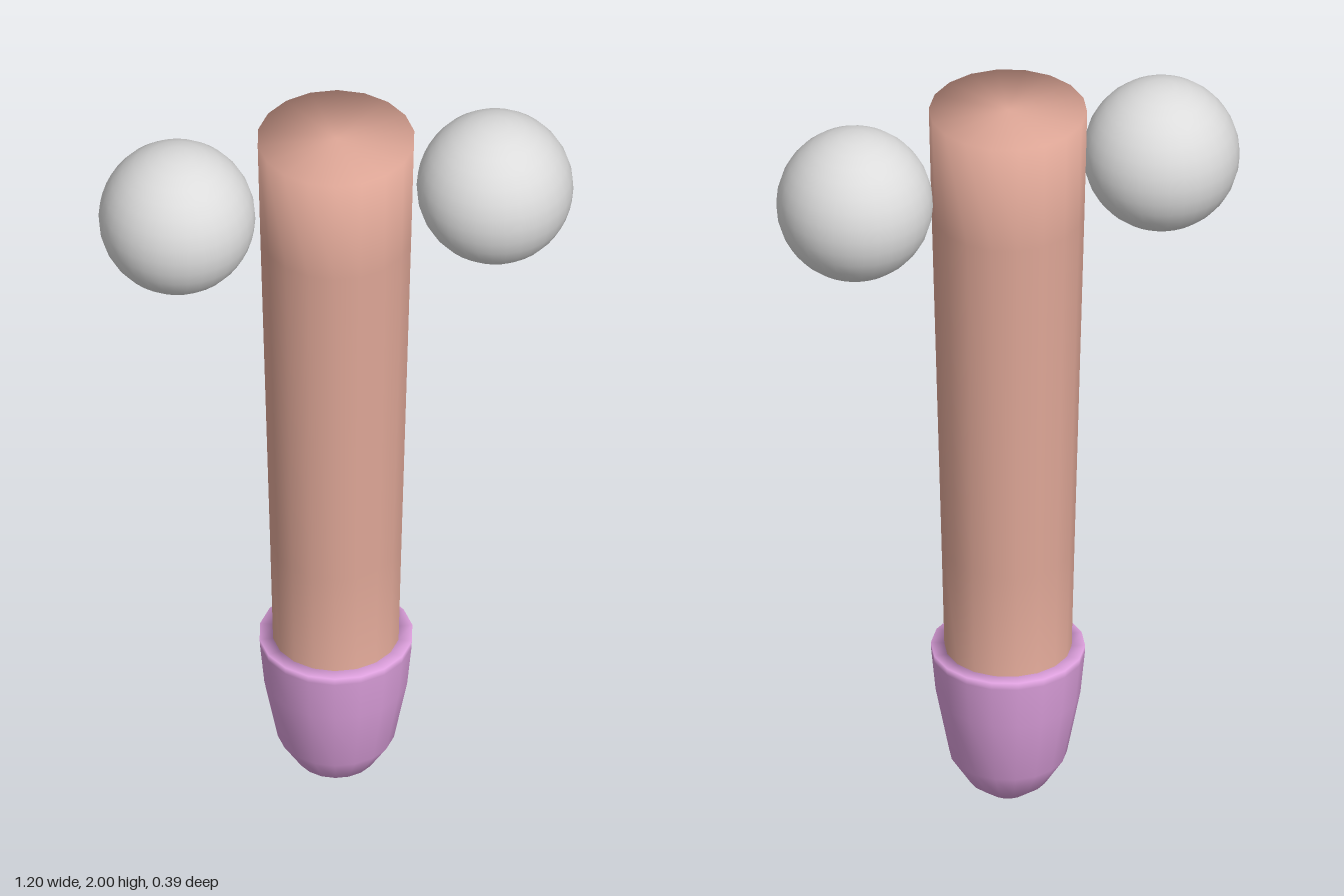
import * as THREE from 'three';

export function createModel() {
  const group = new THREE.Group();
  const mat = (name, color) => {
    const m = new THREE.MeshStandardMaterial({ color });
    m.name = name;
    return m;
  };
  const salmon = mat('salmon', 0xe0a898);
  const plum = mat('plum', 0xdda0dd);
  const grey = mat('light grey', 0xdcdcdc);

  // One smooth 18-sided profile, from the rounded tip up to the flat top
  const rimY = 0.435;
  const profile = [
    [0, 0], [0.05, 0.012], [0.1, 0.05], [0.148, 0.125], [0.182, 0.3],
    [0.193, 0.415], [0.194, rimY], [0.16, rimY],
    [0.167, 0.73], [0.192, 1.7], [0.199, 2], [0, 2],
  ].map(([r, y]) => new THREE.Vector2(r, y));
  const body = new THREE.LatheGeometry(profile, 18, Math.PI / 2);

  // Split the faces at the rim so each colour is its own mesh with shared normals
  const pos = body.attributes.position;
  const lower = [], upper = [];
  for (let i = 0; i < body.index.count; i += 3) {
    const tri = [0, 1, 2].map((k) => body.index.getX(i + k));
    const top = Math.max(...tri.map((v) => pos.getY(v)));
    (top > rimY + 0.01 ? upper : lower).push(...tri);
  }
  const addPart = (name, index, material) => {
    const g = body.clone();
    g.setIndex(index);
    const mesh = new THREE.Mesh(g, material);
    mesh.name = name;
    group.add(mesh);
  };
  addPart('roundedTip', lower, plum);
  addPart('taperedColumn', upper, salmon);

  // Pair of spheres beside the top of the column
  const ball = new THREE.SphereGeometry(0.197, 32, 16);
  for (const side of [1, -1]) {
    const mesh = new THREE.Mesh(ball, grey);
    mesh.name = side > 0 ? 'leftSphere' : 'rightSphere';
    mesh.position.set(side * 0.404, 1.8, 0);
    group.add(mesh);
  }
  return group;
}
